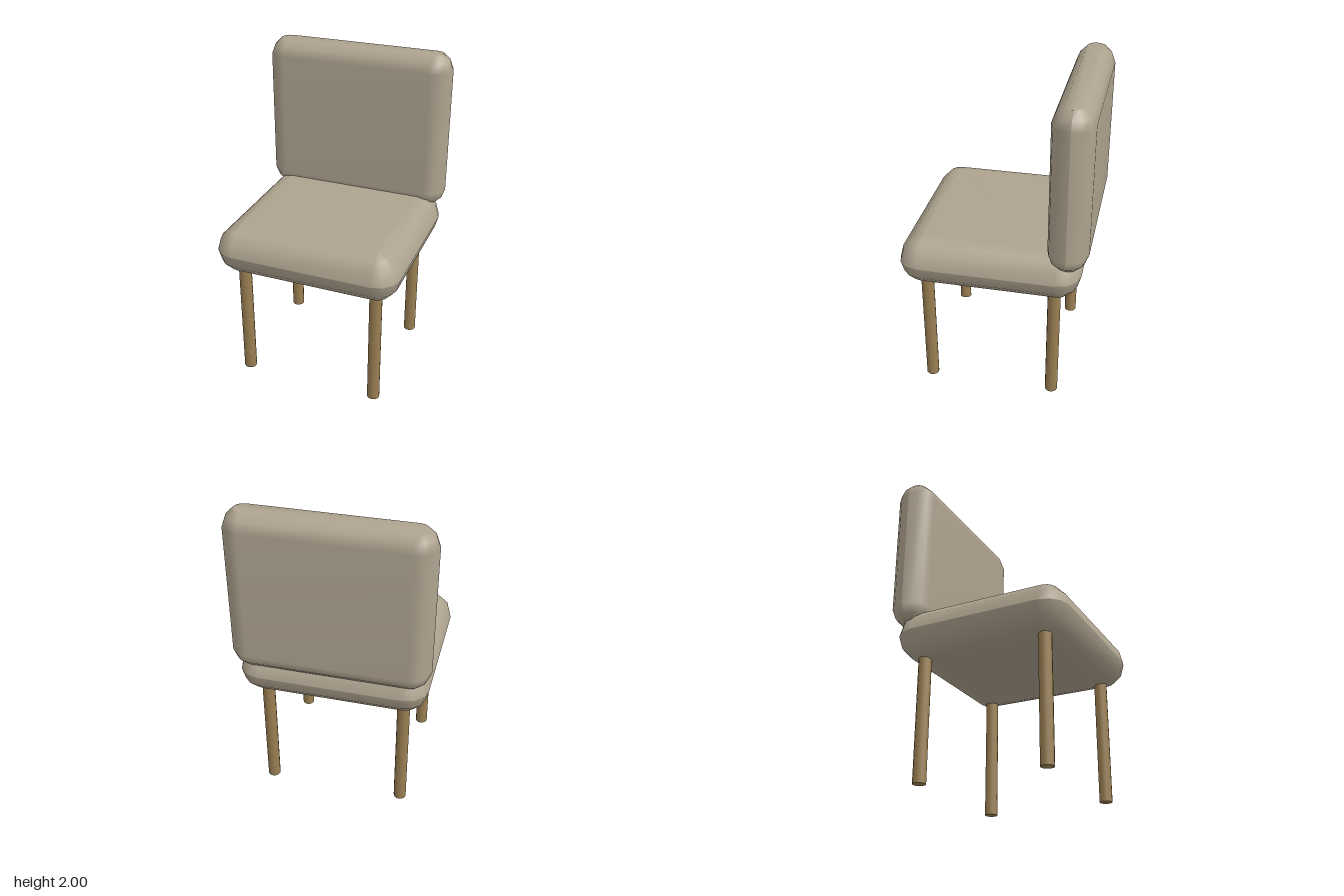
import * as THREE from 'three';

const fabric = new THREE.MeshStandardMaterial({ color: 0xaea38f });
fabric.name = 'taupe fabric';
const wood = new THREE.MeshStandardMaterial({ color: 0x9a7f52 });
wood.name = 'brown wood';

// Rounded-rectangle outline with three facets per corner, counterclockwise from above
function outline(halfW, halfD, radius, y) {
  const points = [];
  for (let corner = 0; corner < 4; corner++) {
    const sx = corner === 0 || corner === 3 ? 1 : -1;
    const sz = corner < 2 ? -1 : 1;
    for (let i = 0; i < 4; i++) {
      const a = (corner * 90 + i * 30) * Math.PI / 180;
      points.push(
        sx * (halfW - radius) + radius * Math.cos(a),
        y,
        sz * (halfD - radius) - radius * Math.sin(a)
      );
    }
  }
  return points;
}

// Puffy cushion: outlines stacked by an edge profile of [inset, drop from the top]
function cushion(name, halfW, halfD, halfH, radius, profile) {
  const rings = [
    ...profile.map(([inset, drop]) => [inset, -halfH + drop]),
    ...profile.map(([inset, drop]) => [inset, halfH - drop]).reverse()
  ];
  const positions = [], index = [], n = 16;
  for (const [inset, y] of rings) {
    positions.push(...outline(halfW - inset, halfD - inset, Math.max(radius - inset, 0.004), y));
  }
  for (let r = 0; r < rings.length - 1; r++) {
    for (let i = 0; i < n; i++) {
      const a = r * n + i, b = r * n + (i + 1) % n;
      index.push(a, b, b + n, a, b + n, a + n);
    }
  }
  // Flat bottom and top
  const top = (rings.length - 1) * n;
  for (let i = 1; i < n - 1; i++) {
    index.push(0, i + 1, i, top, top + i, top + i + 1);
  }
  const geometry = new THREE.BufferGeometry();
  geometry.setAttribute('position', new THREE.Float32BufferAttribute(positions, 3));
  geometry.setIndex(index);
  geometry.computeVertexNormals();
  const mesh = new THREE.Mesh(geometry, fabric);
  mesh.name = name;
  return mesh;
}

export function createModel() {
  const chair = new THREE.Group();
  chair.name = 'chair';

  // Seat with a fully rounded rim
  const rim = [[0.145, 0], [0.073, 0.02], [0.02, 0.075], [0, 0.148]];
  const seat = cushion('seat', 0.587, 0.556, 0.15, 0.14, rim);
  seat.position.set(0, 0.915, 0.02);
  chair.add(seat);

  // Upright backrest
  const edge = [[0.065, 0], [0.022, 0.042], [0, 0.1]];
  const backrest = cushion('backrest', 0.605, 0.122, 0.503, 0.12, edge);
  backrest.position.set(0, 1.497, -0.456);
  chair.add(backrest);

  // Four round legs
  const legGeometry = new THREE.CylinderGeometry(0.04, 0.04, 0.8, 12);
  for (const [depth, z] of [['front', 0.42], ['back', -0.376]]) {
    for (const [side, x] of [['Left', 0.435], ['Right', -0.435]]) {
      const leg = new THREE.Mesh(legGeometry, wood);
      leg.name = `${depth}${side}Leg`;
      leg.position.set(x, 0.4, z);
      chair.add(leg);
    }
  }
  return chair;
}
